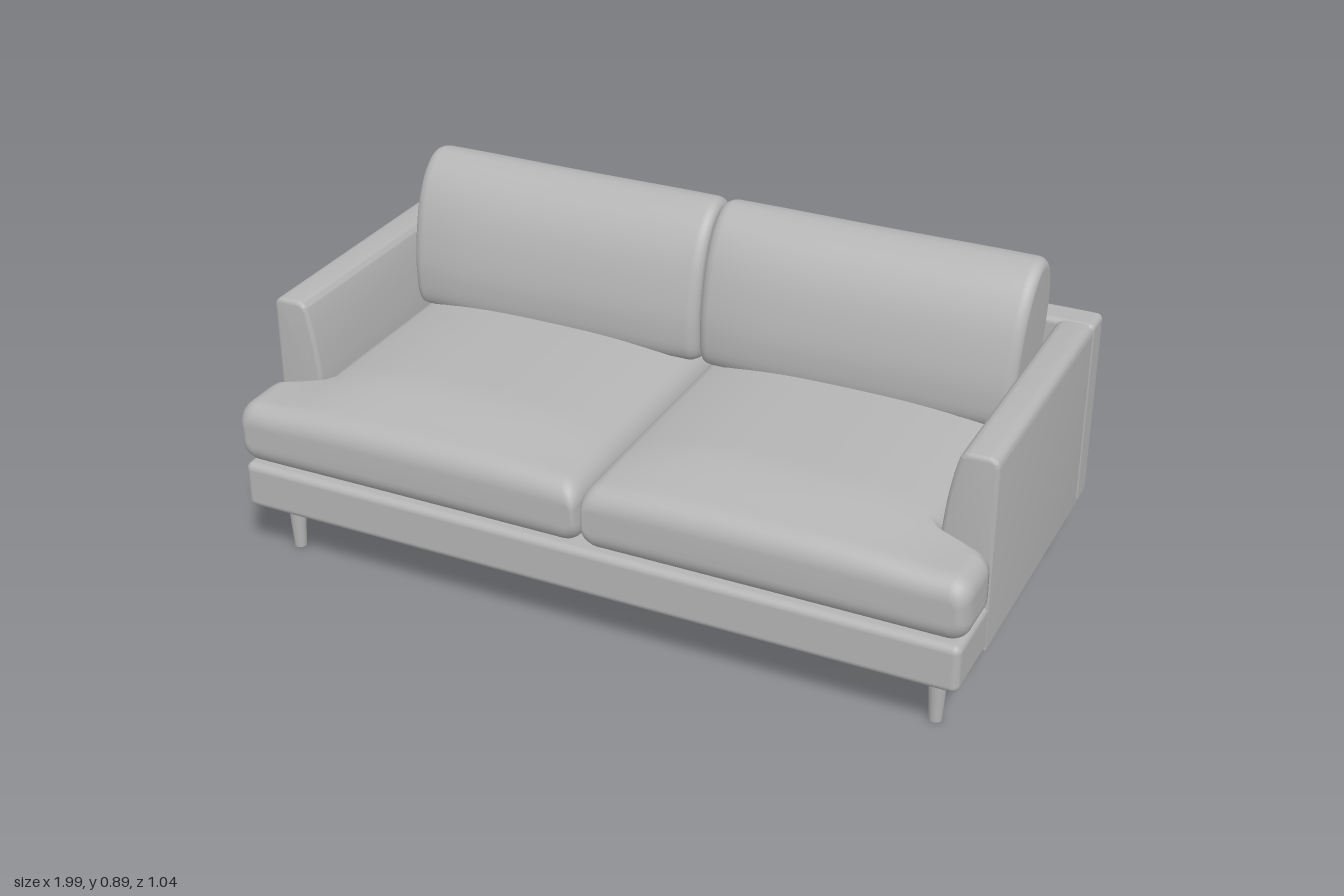
import * as THREE from 'three';
import { mergeVertices, toCreasedNormals } from 'three/addons/utils/BufferGeometryUtils.js';
import { RoundedBoxGeometry } from 'three/addons/geometries/RoundedBoxGeometry.js';

// Skin a list of equal-length rings of Vector3 and close both ends.
function loft(rings) {
  const n = rings[0].length, pts = rings.flat(), index = [];
  for (let i = 0; i < rings.length - 1; i++) {
    for (let j = 0; j < n; j++) {
      const k = (j + 1) % n, a = i * n + j, b = i * n + k;
      index.push(a, b, b + n, a, b + n, a + n);
    }
  }
  [0, rings.length - 1].forEach((r, end) => {
    const mid = new THREE.Vector3();
    rings[r].forEach((p) => mid.addScaledVector(p, 1 / n));
    const c = pts.push(mid) - 1;
    for (let j = 0; j < n; j++) {
      const a = r * n + j, b = r * n + (j + 1) % n;
      index.push(c, end ? a : b, end ? b : a);
    }
  });
  const geo = new THREE.BufferGeometry().setFromPoints(pts);
  geo.setIndex(index);
  geo.computeVertexNormals();
  return geo;
}

// Mirror an indexed geometry across x, keeping faces outward.
function mirrored(geo) {
  const copy = geo.clone().scale(-1, 1, 1);
  copy.setIndex(Array.from(geo.index.array).reverse());
  return copy;
}

// Distance a rounded end of radius r draws in at distance d from the tip.
const inset = (d, r) => (d >= r ? 0 : r - Math.sqrt(r * r - (r - d) * (r - d)));

// Stations between a and b, crowded into the rounded ends.
function stations(a, b, r, count) {
  const list = [], arc = 7;
  for (let i = 0; i <= arc; i++) list.push(a + r * (1 - Math.cos((i / arc) * Math.PI / 2)));
  for (let i = 1; i < count; i++) list.push(a + r + ((b - a - 2 * r) * i) / count);
  for (let i = arc; i >= 0; i--) list.push(b - r * (1 - Math.cos((i / arc) * Math.PI / 2)));
  return list;
}

// Counter-clockwise rounded rectangle with divided long edges.
function roundedRect(x0, x1, y0, y1, r) {
  const pts = [], arc = 6, edge = 16;
  const corners = [[x1 - r, y1 - r], [x0 + r, y1 - r], [x0 + r, y0 + r], [x1 - r, y0 + r]];
  corners.forEach(([cx, cy], q) => {
    for (let i = 0; i <= arc; i++) {
      const t = (q + i / arc) * Math.PI / 2;
      pts.push([cx + r * Math.cos(t), cy + r * Math.sin(t)]);
    }
    const [sx, sy] = pts[pts.length - 1];
    const next = corners[(q + 1) % 4], t = (q + 1) * Math.PI / 2;
    const ex = next[0] + r * Math.cos(t), ey = next[1] + r * Math.sin(t);
    for (let i = 1; i < edge; i++) pts.push([sx + (ex - sx) * i / edge, sy + (ey - sy) * i / edge]);
  });
  return pts;
}

// T-shaped seat cushion: wide lip ahead of the arm, crowned top.
function seatCushion() {
  const zBack = -0.43, zFront = 0.52, r = 0.055;
  const rings = stations(zBack, zFront, r, 40).map((z) => {
    const d = inset(Math.min(z - zBack, zFront - z), r);
    const width = 0.862 + 0.134 * Math.sqrt(THREE.MathUtils.smoothstep(z, 0.31, 0.365));
    const rise = 0.05 * THREE.MathUtils.smoothstep(0.56 - z, 0, 0.3);
    return roundedRect(0.001 + d * 0.3, width - d * 0.6, 0.29 + d, 0.462 - d, Math.max(0.05 - d * 0.6, 0.012))
      .map(([x, y]) => {
        const u = Math.min(1, Math.abs(x - 0.44) / 0.44);
        const lift = THREE.MathUtils.clamp((y - 0.29) / 0.172, 0, 1);
        return new THREE.Vector3(x, y + lift * (rise + 0.006) * (1 - u ** 3), z);
      });
  });
  return loft(rings);
}

// Leaning back cushion, lofted sideways from a plump side profile [z, y].
function backCushion() {
  const profile = [[-0.33, 0.89], [-0.26, 0.853], [-0.205, 0.78], [-0.168, 0.68], [-0.15, 0.57],
    [-0.165, 0.485], [-0.28, 0.465], [-0.39, 0.485], [-0.425, 0.6], [-0.446, 0.74], [-0.437, 0.81], [-0.4, 0.87]];
  const curve = new THREE.CatmullRomCurve3(profile.map(([z, y]) => new THREE.Vector3(0, y, z)), true);
  const ring = curve.getPoints(60).slice(0, 60);
  const x0 = 0.002, x1 = 0.872, r = 0.03;
  return loft(stations(x0, x1, r, 16).map((x) => {
    const u = Math.abs((x - x0) / (x1 - x0) * 2 - 1);
    const d = inset(Math.min(x - x0, x1 - x), r);
    const sz = (1 - 0.13 * u ** 4) * (1 - d / 0.17), sy = 1 - d / 0.25;
    return ring.map((p) => new THREE.Vector3(
      x * (1 + 0.03 * (p.y - 0.75)),
      0.67 + (p.y - 0.67) * sy * (0.975 + 0.025 * u * u),
      -0.305 + (p.z + 0.305) * sz));
  }));
}

// Side arm with a sloping inner face and softened edges.
function armGeometry() {
  const b = 0.012;
  const s = new THREE.Shape();
  s.moveTo(0.986 - b, 0.16 + b);
  s.lineTo(0.986 - b, 0.67 - b);
  s.quadraticCurveTo(0.986 - b, 0.685 - b, 0.971 - b, 0.685 - b);
  s.lineTo(0.905 + b, 0.685 - b);
  s.quadraticCurveTo(0.89 + b, 0.685 - b, 0.887 + b, 0.67 - b);
  s.quadraticCurveTo(0.865 + b, 0.58, 0.857 + b, 0.46);
  s.lineTo(0.857 + b, 0.16 + b);
  s.closePath();
  const geo = new THREE.ExtrudeGeometry(s, {
    depth: 0.84 - 2 * b, bevelEnabled: true, bevelSize: b, bevelThickness: b, bevelSegments: 4, curveSegments: 8,
  });
  geo.translate(0, 0, -0.52 + b);
  return mergeVertices(toCreasedNormals(geo, 0.7));
}

export function createModel() {
  const grey = new THREE.MeshStandardMaterial({ color: 0xb4b4b4 });
  grey.name = 'upholstery grey';
  const sofa = new THREE.Group();
  sofa.name = 'sofa';
  const add = (name, geo, x = 0, y = 0, z = 0) => {
    const mesh = new THREE.Mesh(geo, grey);
    mesh.name = name;
    mesh.position.set(x, y, z);
    sofa.add(mesh);
  };

  // Frame
  add('base', new RoundedBoxGeometry(1.97, 0.13, 1.03, 5, 0.02), 0, 0.223, 0);
  add('backPanel', new RoundedBoxGeometry(1.978, 0.528, 0.092, 5, 0.016), 0, 0.423, -0.477);

  // Mirrored arms and cushions
  const pairs = { Arm: armGeometry(), SeatCushion: seatCushion(), BackCushion: backCushion() };
  for (const [name, geo] of Object.entries(pairs)) {
    add('left' + name, geo);
    add('right' + name, mirrored(geo));
  }

  // Tapered legs
  const leg = new THREE.CylinderGeometry(0.026, 0.016, 0.165, 24);
  for (const x of [-0.905, 0.905]) {
    add('frontLeg', leg, x, 0.0825, 0.41);
    add('backLeg', leg, x, 0.0825, -0.443);
  }
  return sofa;
}
